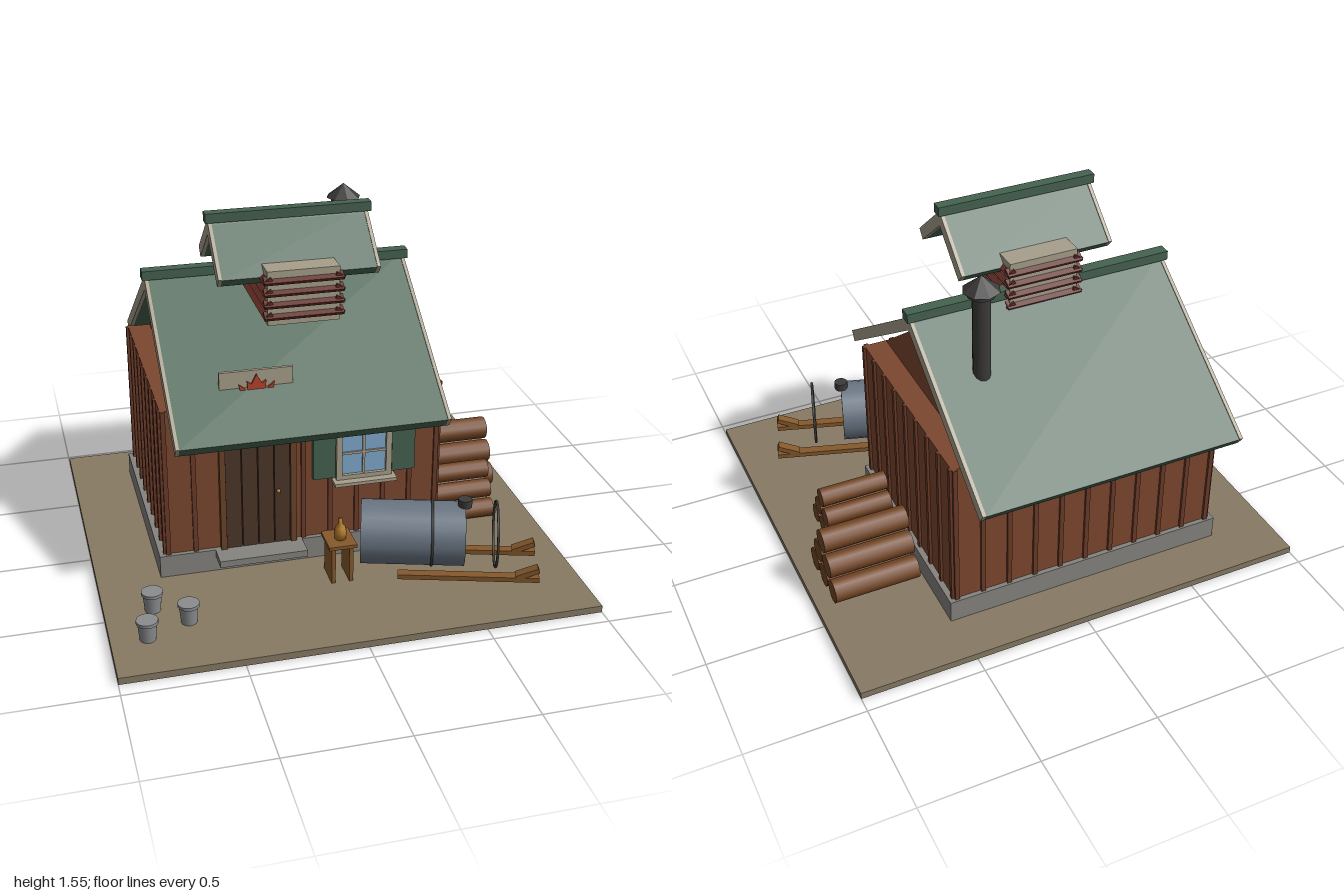
import * as THREE from 'three';

const C = {
  ground: 0x877a64, stone: 0x85847f, wall: 0x7c4730, batten: 0x6a3b28, green: 0x456250,
  trim: 0xa89f8b, louvre: 0x642c24, iron: 0x3c3b3a, door: 0x4d3628, frame: 0x6b4429,
  glass: 0x7fa9cc, log: 0x754726, plank: 0x85592c, tank: 0x6a7683, bucket: 0x8a8d8f,
  leaf: 0xb8432a, amber: 0xb0782a,
};
const mats = {};
const mat = (c, flat) => (mats[c + (flat ? 'f' : '')] ??= new THREE.MeshStandardMaterial({ color: C[c], flatShading: !!flat }));

function add(parent, name, geo, c, x = 0, y = 0, z = 0, flat = false) {
  const m = new THREE.Mesh(geo, mat(c, flat));
  m.name = name;
  m.position.set(x, y, z);
  parent.add(m);
  return m;
}
// Box given by its extents on each axis
function box(parent, name, c, x0, x1, y0, y1, z0, z1) {
  return add(parent, name, new THREE.BoxGeometry(x1 - x0, y1 - y0, z1 - z0), c, (x0 + x1) / 2, (y0 + y1) / 2, (z0 + z1) / 2);
}
const cyl = (rt, rb, h, n) => new THREE.CylinderGeometry(rt, rb, h, n);
function group(parent, name, x = 0, y = 0, z = 0) {
  const g = new THREE.Group();
  g.name = name;
  g.position.set(x, y, z);
  parent.add(g);
  return g;
}

// Pitched roof with two slabs, four barge boards and a ridge cap
function roof(parent, name, x0, x1, y, z, run, drop, t, cap) {
  const g = group(parent, name, 0, y, z);
  const a = Math.atan2(drop, run), len = Math.hypot(run, drop);
  for (const s of [1, -1]) {
    const side = group(g, s > 0 ? 'frontSlope' : 'backSlope');
    side.rotation.x = s * a;
    const zs = s > 0 ? [0, len] : [-len, 0];
    box(side, 'roofSlab', 'green', x0 + 0.015, x1 - 0.015, -t, -0.004, ...zs);
    box(side, 'bargeBoard', 'trim', x0, x0 + 0.015, -t, 0, ...zs);
    box(side, 'bargeBoard', 'trim', x1 - 0.015, x1, -t, 0, ...zs);
  }
  box(g, 'ridgeCap', 'green', x0 - 0.012, x1 + 0.012, -0.012, 0.028, -cap, cap);
}

// Triangular prism running along x
function gable(parent, name, c, x0, x1, y0, y1, z, half) {
  const s = new THREE.Shape([new THREE.Vector2(-half, y0), new THREE.Vector2(half, y0), new THREE.Vector2(0, y1)]);
  const geo = new THREE.ExtrudeGeometry(s, { depth: x1 - x0, bevelEnabled: false });
  geo.rotateY(Math.PI / 2);
  add(parent, name, geo, c, x0, 0, z);
}

function house(root) {
  const g = group(root, 'house');
  const X0 = -0.7, X1 = 0.5, Z0 = -0.7, Z1 = 0.245, mid = -0.2275;
  box(g, 'foundation', 'stone', -0.73, 0.525, 0.03, 0.13, -0.72, 0.265);
  box(g, 'walls', 'wall', X0, X1, 0.13, 0.8, Z0, Z1);
  gable(g, 'gables', 'wall', -0.6, 0.4, 0.8, 1.16, mid, 0.47);

  // Battens on all four walls, leaving out the door and window
  const b = 0.01, d = 0.011;
  for (let i = 0; i <= 10; i++) {
    const x = X0 + b + (i * (X1 - X0 - 2 * b)) / 10;
    box(g, 'batten', 'batten', x - b, x + b, 0.13, 0.8, Z0 - d, Z0);
    if (x > -0.47 && x < -0.13) continue;
    box(g, 'batten', 'batten', x - b, x + b, 0.13, 0.8, Z1, Z1 + d);
  }
  for (let i = 0; i <= 8; i++) {
    const z = Z0 + b + (i * (Z1 - Z0 - 2 * b)) / 8;
    box(g, 'batten', 'batten', X0 - d, X0, 0.13, 0.8, z - b, z + b);
    box(g, 'batten', 'batten', X1, X1 + d, 0.13, 0.8, z - b, z + b);
  }
  roof(g, 'mainRoof', -0.675, 0.475, 1.215, mid, 0.703, 0.48, 0.05, 0.026);

  // Door
  box(g, 'doorFrame', 'frame', -0.465, -0.44, 0.13, 0.69, Z1, 0.272);
  box(g, 'doorFrame', 'frame', -0.16, -0.135, 0.13, 0.69, Z1, 0.272);
  box(g, 'doorFrame', 'frame', -0.44, -0.16, 0.655, 0.69, Z1, 0.272);
  for (let i = 0; i < 4; i++)
    box(g, 'doorPlank', 'door', -0.44 + i * 0.07 + 0.002, -0.372 + i * 0.07, 0.13, 0.655, Z1, 0.262);
  add(g, 'doorKnob', new THREE.SphereGeometry(0.009, 10, 8), 'amber', -0.213, 0.38, 0.268);
  box(g, 'doorStep', 'stone', -0.49, -0.11, 0.1, 0.13, 0.26, 0.365);

  // Window with shutters
  const w = group(g, 'window');
  box(w, 'glass', 'glass', 0.055, 0.27, 0.41, 0.63, Z1, 0.26);
  for (const [x0, x1] of [[0.04, 0.065], [0.26, 0.285]]) box(w, 'windowFrame', 'trim', x0, x1, 0.4, 0.645, Z1, 0.275);
  for (const [y0, y1] of [[0.4, 0.42], [0.62, 0.645]]) box(w, 'windowFrame', 'trim', 0.065, 0.26, y0, y1, Z1, 0.275);
  box(w, 'glazingBar', 'trim', 0.157, 0.168, 0.42, 0.62, Z1, 0.268);
  box(w, 'glazingBar', 'trim', 0.065, 0.26, 0.514, 0.525, Z1, 0.267);
  box(w, 'windowSill', 'trim', 0.025, 0.3, 0.385, 0.4, Z1, 0.31);
  box(w, 'shutter', 'green', -0.06, 0.037, 0.412, 0.625, Z1, 0.268);
  box(w, 'shutter', 'green', 0.288, 0.39, 0.412, 0.625, Z1, 0.268);

  // Board with a leaf ornament, half sunk in the roof
  box(g, 'signBoard', 'trim', -0.455, -0.145, 0.72, 0.95, 0.247, 0.262);
  const half = [[0, 0.1], [0.022, 0.058], [0.04, 0.07], [0.038, 0.03], [0.075, 0.06], [0.068, 0.02], [0.08, 0], [0.03, -0.045], [0.035, -0.06], [0.006, -0.055], [0.006, -0.1]];
  const pts = [...half, ...half.slice(1).reverse().map(([x, y]) => [-x, y])].map(([x, y]) => new THREE.Vector2(x, y));
  add(g, 'leafOrnament', new THREE.ExtrudeGeometry(new THREE.Shape(pts), { depth: 0.01, bevelEnabled: false }), 'leaf', -0.3, 0.835, 0.262);

  // Stove pipe
  const p = group(g, 'stovePipe', 0.265, 0, -0.465);
  add(p, 'pipe', cyl(0.037, 0.037, 0.5, 12), 'iron', 0, 1.16, 0);
  add(p, 'collar', cyl(0.057, 0.057, 0.022, 12), 'iron', 0, 1.41, 0);
  add(p, 'cap', new THREE.ConeGeometry(0.077, 0.062, 8), 'iron', 0, 1.453, 0, true);
}

// Louvred roof vent
function cupola(root) {
  const g = group(root, 'cupola');
  box(g, 'ventBox', 'trim', -0.25, 0.05, 1.14, 1.37, -0.268, 0.268);
  for (let i = 0; i < 4; i++) {
    const y = 1.182 + i * 0.05;
    for (const s of [1, -1]) {
      const f = add(g, 'louvre', new THREE.BoxGeometry(0.33, 0.014, 0.04), 'louvre', -0.1, y, s * 0.268);
      f.rotation.x = s * 0.5;
      const e = add(g, 'louvre', new THREE.BoxGeometry(0.04, 0.014, 0.56), 'louvre', -0.1 + s * 0.15, y, 0);
      e.rotation.z = -s * 0.5;
    }
  }
  gable(g, 'cupolaGable', 'trim', -0.25, 0.05, 1.3, 1.46, 0, 0.17);
  roof(g, 'cupolaRoof', -0.437, 0.237, 1.52, 0, 0.217, 0.187, 0.05, 0.024);
}

// Pyramid of logs lying along x
function logPile(root, x0, x1, z, y, r, dz, dy) {
  const g = group(root, 'logPile');
  for (let row = 0; row < 3; row++)
    for (let i = 0; i < 3 - row; i++) {
      const l = add(g, 'log', cyl(r, r, x1 - x0, 12), 'log', (x0 + x1) / 2, y + row * dy, z + (i - 1 + row / 2) * dz);
      l.rotation.z = Math.PI / 2;
    }
}

// Tank lying on a sled with two handles
function tankSled(root) {
  const g = group(root, 'tankSled', 0.31, 0, 0.505);
  g.rotation.y = -0.3;
  add(g, 'tank', cyl(0.137, 0.137, 0.435, 20), 'tank', 0, 0.24, 0).rotation.z = Math.PI / 2;
  for (const x of [0.08, 0.35])
    add(g, 'hoop', new THREE.TorusGeometry(0.138, 0.006, 6, 32), 'iron', x, 0.24, 0).rotation.y = Math.PI / 2;
  add(g, 'fillerCap', cyl(0.03, 0.03, 0.035, 12), 'iron', 0.215, 0.387, 0);
  for (const s of [1, -1]) {
    box(g, 'runner', 'plank', -0.06, 0.53, 0.085, 0.106, s * 0.107 - 0.021, s * 0.107 + 0.021);
    const grip = add(g, 'grip', new THREE.BoxGeometry(0.1, 0.022, 0.043), 'plank', 0.48, 0.122, s * 0.107);
    grip.rotation.z = 0.4;
  }
}

function bench(root) {
  const g = group(root, 'bench');
  box(g, 'benchTop', 'plank', -0.05, 0.07, 0.195, 0.21, 0.355, 0.5);
  box(g, 'benchLeg', 'plank', -0.037, -0.02, 0.03, 0.195, 0.365, 0.49);
  box(g, 'benchLeg', 'plank', 0.04, 0.057, 0.03, 0.195, 0.365, 0.49);
  const prof = [[0, 0], [0.024, 0], [0.028, 0.03], [0.022, 0.055], [0.009, 0.072], [0.009, 0.095], [0, 0.095]];
  add(g, 'jug', new THREE.LatheGeometry(prof.map(([x, y]) => new THREE.Vector2(x, y)), 12), 'amber', 0.015, 0.21, 0.43);
}

function buckets(root) {
  for (const [x, z] of [[-0.8, 0.5], [-0.67, 0.62], [-0.85, 0.7]]) {
    const g = group(root, 'bucket', x, 0, z);
    add(g, 'pail', cyl(0.04, 0.033, 0.08, 16), 'bucket', 0, 0.07, 0);
    add(g, 'lid', cyl(0.045, 0.045, 0.014, 16), 'bucket', 0, 0.113, 0);
  }
}

export function createModel() {
  const root = new THREE.Group();
  root.name = 'cabin';
  box(root, 'ground', 'ground', -1, 1, 0, 0.03, -0.932, 0.932);
  house(root);
  cupola(root);
  logPile(root, 0.52, 0.82, 0.02, 0.075, 0.042, 0.09, 0.077);
  logPile(root, 0.55, 0.925, -0.295, 0.085, 0.052, 0.11, 0.094);
  tankSled(root);
  bench(root);
  buckets(root);
  return root;
}
